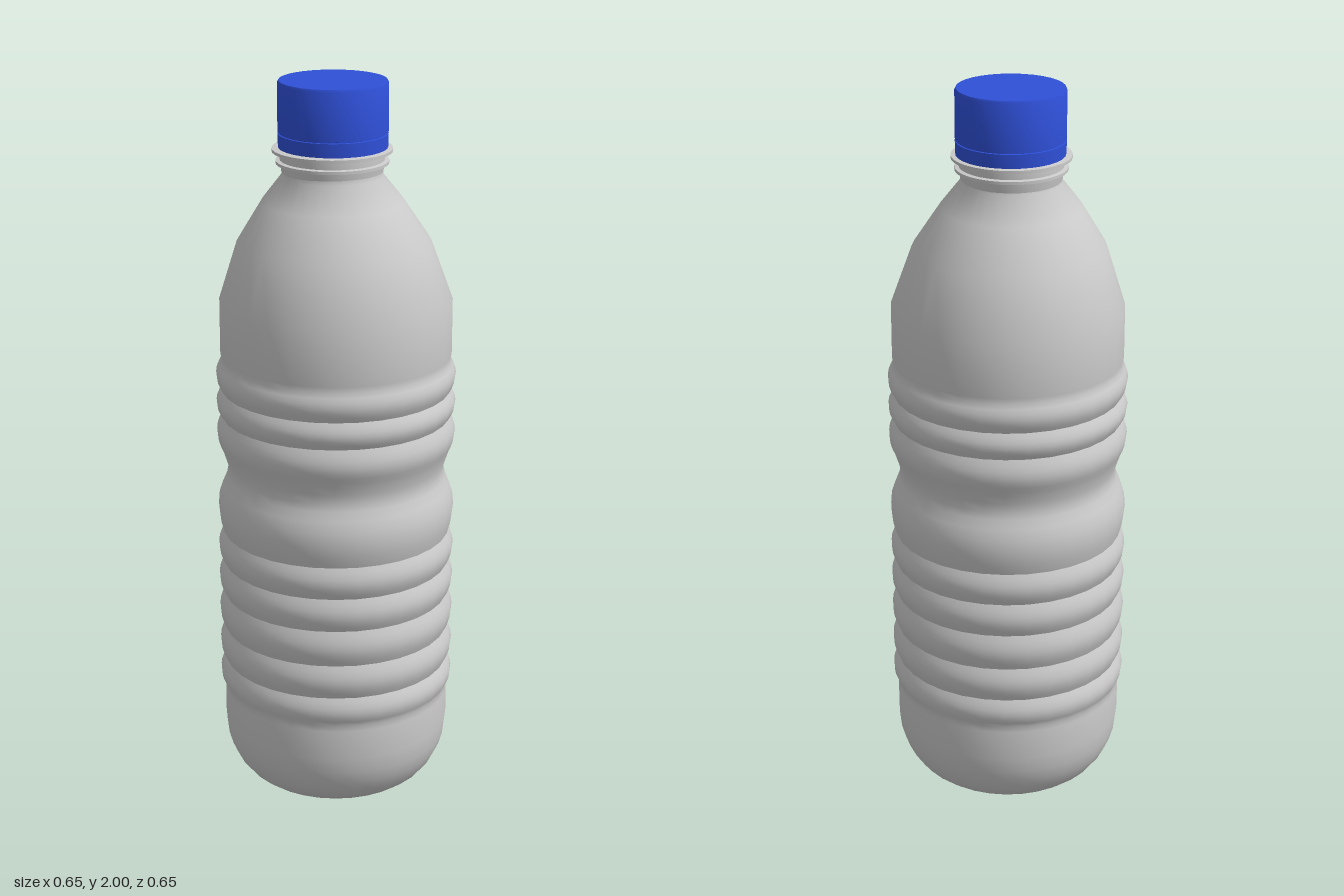
import * as THREE from 'three';
import { toCreasedNormals } from 'three/addons/utils/BufferGeometryUtils.js';

const SIDES = 32;

// Turned part from [radius, height] pairs listed bottom to top
function turned(name, profile, material, crease = 0.7) {
  const points = profile.map(([r, y]) => new THREE.Vector2(r, y));
  const mesh = new THREE.Mesh(toCreasedNormals(new THREE.LatheGeometry(points, SIDES), crease), material);
  mesh.name = name;
  return mesh;
}

// Rounded ribs bulging between successive groove heights
function ribs(grooves, rGroove = 0.312, rPeak = 0.326, steps = 6) {
  const out = [];
  for (let i = 0; i < grooves.length - 1; i++) {
    for (let j = i ? 1 : 0; j <= steps; j++) {
      const t = j / steps;
      out.push([
        rGroove + (rPeak - rGroove) * Math.sin(Math.PI * t),
        THREE.MathUtils.lerp(grooves[i], grooves[i + 1], t),
      ]);
    }
  }
  return out;
}

export function createModel() {
  const model = new THREE.Group();
  model.name = 'bottle';
  const plastic = new THREE.MeshStandardMaterial({ color: 0xcccccc });
  const blue = new THREE.MeshStandardMaterial({ color: 0x2f50d8 });

  // Body: rounded base, lower ribs, waist, upper ribs, tapering shoulder
  const body = turned('body', [
    [0, 0.005], [0.19, 0.005], [0.205, 0.01], [0.232, 0.02], [0.258, 0.04], [0.28, 0.068],
    [0.298, 0.103], [0.309, 0.14], [0.314, 0.185], [0.314, 0.27],
    ...ribs([0.286, 0.37, 0.466, 0.568, 0.662, 0.753]),
    [0.321, 0.785], [0.325, 0.82], [0.322, 0.855], [0.312, 0.885],
    [0.301, 0.91], [0.297, 0.93], [0.3, 0.955], [0.308, 0.98],
    ...ribs([0.992, 1.087, 1.162, 1.245]),
    [0.314, 1.26], [0.314, 1.41], [0.26, 1.57], [0.19, 1.68], [0.135, 1.75], [0.134, 1.765],
  ], plastic);

  // The shoulder leans slightly towards the offset neck
  const pos = body.geometry.attributes.position;
  for (let i = 0; i < pos.count; i++) {
    pos.setX(i, pos.getX(i) - 0.01 * THREE.MathUtils.smoothstep(pos.getY(i), 1.4, 1.75));
  }
  model.add(body);

  // Neck with a small bead and the wide carrying flange
  const neck = turned('neck', [
    [0.134, 1.755], [0.138, 1.78], [0.15, 1.782], [0.15, 1.79], [0.139, 1.792],
    [0.139, 1.812], [0.16, 1.814], [0.16, 1.822], [0.138, 1.824], [0.138, 1.9], [0, 1.9],
  ], plastic);
  neck.position.set(-0.01, 0, -0.001);
  model.add(neck);

  // Tamper band and screw cap, parted by a fine groove
  const band = turned('capBand', [
    [0.13, 1.824], [0.145, 1.824], [0.146, 1.861], [0.142, 1.862], [0.142, 1.866],
  ], blue);
  const cap = turned('cap', [
    [0.142, 1.864], [0.146, 1.865], [0.146, 1.994], [0.143, 2], [0, 2],
  ], blue);
  for (const part of [band, cap]) {
    part.position.set(-0.007, 0, -0.003);
    model.add(part);
  }
  return model;
}
